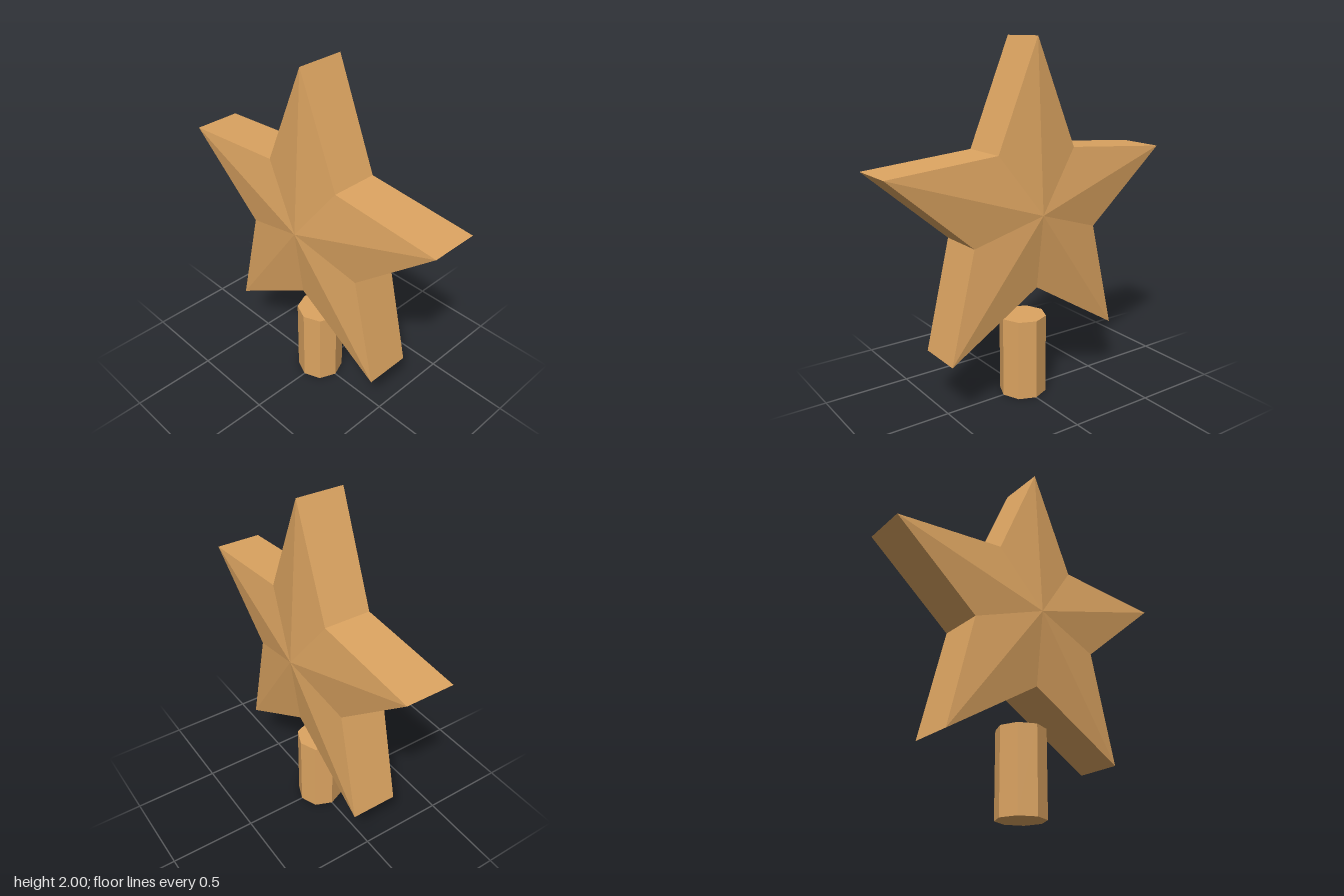
import * as THREE from 'three';

const CENTER_Y = 1.08, OUTER = 0.92, INNER = 0.415, EDGE = 0.134, PEAK = 0.19;

// Five-pointed star: straight rim, with each face rising to a central peak
function starGeometry() {
  const point = (i, z) => {
    const a = (i * Math.PI) / 5;
    const r = i % 2 ? INNER : OUTER;
    return [-r * Math.sin(a), r * Math.cos(a), z];
  };
  const pos = [];
  for (let i = 0; i < 10; i++) {
    const pf = point(i, EDGE), qf = point(i + 1, EDGE);
    const pb = point(i, -EDGE), qb = point(i + 1, -EDGE);
    pos.push(...[0, 0, PEAK], ...pf, ...qf); // front facet
    pos.push(...[0, 0, -PEAK], ...qb, ...pb); // back facet
    pos.push(...pb, ...qb, ...qf, ...pb, ...qf, ...pf); // rim
  }
  const geo = new THREE.BufferGeometry();
  geo.setAttribute('position', new THREE.Float32BufferAttribute(pos, 3));
  geo.computeVertexNormals();
  return geo;
}

export function createModel() {
  const group = new THREE.Group();
  group.name = 'starTopper';

  const gold = new THREE.MeshStandardMaterial({ color: 0xdca461, flatShading: true });
  gold.name = 'gold';

  const star = new THREE.Mesh(starGeometry(), gold);
  star.name = 'star';
  star.position.y = CENTER_Y;
  group.add(star);

  // Eight-sided peg below the star
  const peg = new THREE.Mesh(new THREE.CylinderGeometry(0.134, 0.134, 0.465, 8), gold);
  peg.name = 'peg';
  peg.position.y = 0.2325;
  group.add(peg);

  return group;
}
